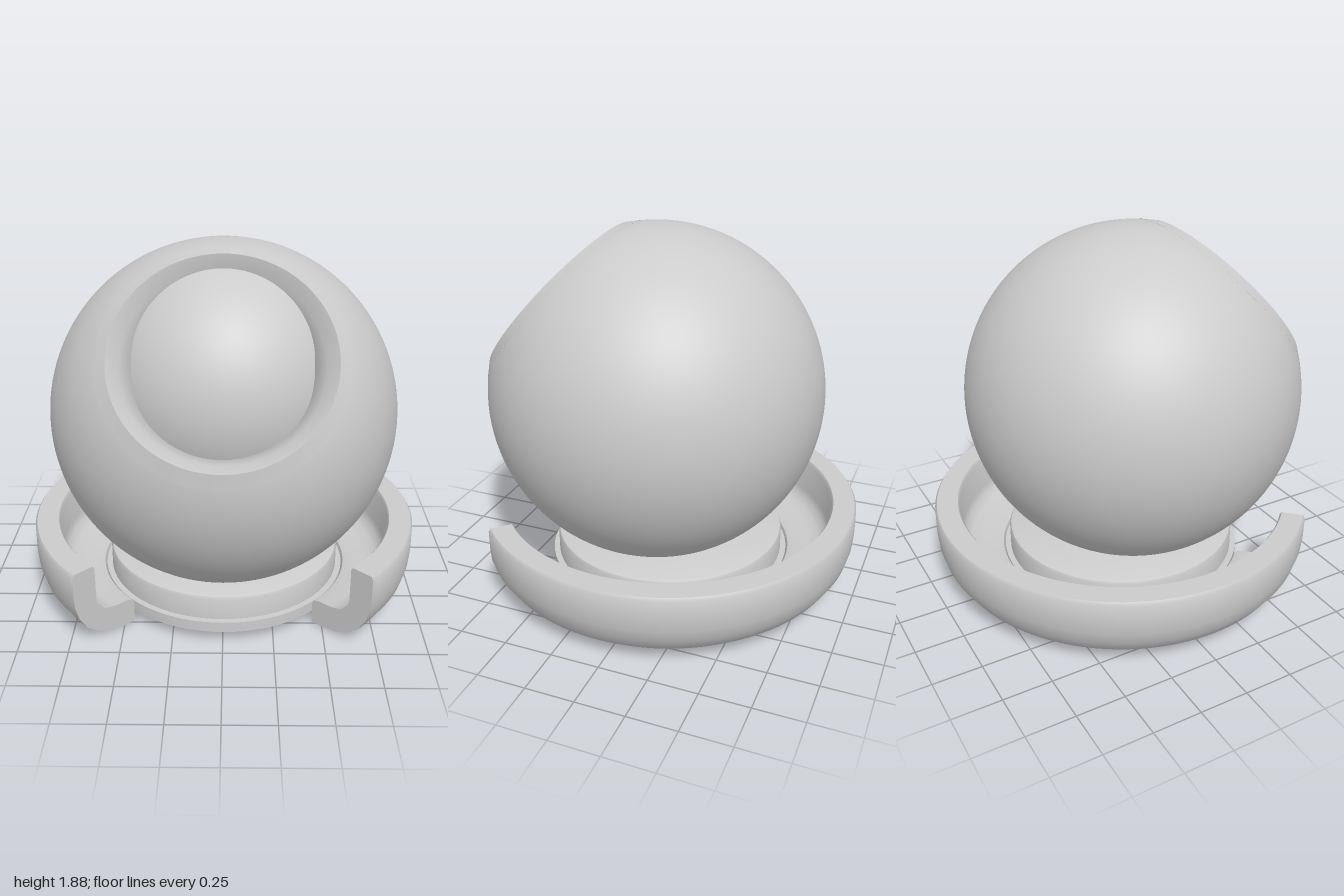
import * as THREE from 'three';
import { toCreasedNormals } from 'three/addons/utils/BufferGeometryUtils.js';

const material = new THREE.MeshStandardMaterial({ color: 0xcccccc, side: THREE.DoubleSide });
const points = (list) => list.map(([r, y]) => new THREE.Vector2(r, y));

function addMesh(parent, name, geometry) {
  const mesh = new THREE.Mesh(geometry, material);
  mesh.name = name;
  parent.add(mesh);
  return mesh;
}

function lathe(list, segments = 96, start = 0, length = Math.PI * 2) {
  return toCreasedNormals(new THREE.LatheGeometry(points(list), segments, start, length), 0.6);
}

// Open cradle: three quarters of a bowl, a floor plate and a raised seat
function createBase() {
  const base = new THREE.Group();
  base.name = 'base';
  base.position.z = 0.03;

  const section = [
    [0.64, 0], [0.7, 0], [0.79, 0.015], [0.87, 0.05], [0.93, 0.1], [0.975, 0.17],
    [0.995, 0.24], [1, 0.3], [1, 0.41], [0.99, 0.425], [0.88, 0.425], [0.87, 0.41],
    [0.87, 0.23], [0.855, 0.19], [0.82, 0.16], [0.76, 0.145], [0.68, 0.14], [0.65, 0.13],
    [0.64, 0.11], [0.64, 0],
  ];
  const start = Math.PI / 4;
  const sweep = Math.PI * 1.5;
  addMesh(base, 'bowlWall', lathe(section, 96, start, sweep));

  // Flat faces closing both ends of the wall
  const endShape = new THREE.Shape(points(section.slice(0, -1)));
  for (const angle of [start, start + sweep]) {
    const end = addMesh(base, 'bowlWallEnd', new THREE.ShapeGeometry(endShape));
    end.rotation.y = angle - Math.PI / 2;
  }

  addMesh(base, 'floorPlate', lathe([[0, 0.065], [0.64, 0.065], [0.64, 0.12], [0, 0.12]]));
  addMesh(base, 'seat', lathe([
    [0.61, 0.1], [0.61, 0.23], [0.604, 0.244], [0.59, 0.25], [0, 0.25],
  ]));
  return base;
}

// Hollow ball with a tilted round opening; the group's y axis points out of the opening
function createBall() {
  const ball = new THREE.Group();
  ball.name = 'ball';
  ball.position.set(0, 1.013, 0.1);
  ball.rotation.x = 0.867;

  const radius = 0.867;
  const cut = Math.acos(0.65 / radius);
  addMesh(ball, 'shell', new THREE.SphereGeometry(radius, 128, 80, 0, Math.PI * 2, cut, Math.PI - cut));

  // Bevelled rim running into the opening
  addMesh(ball, 'rim', lathe([
    [0.575, 0.65], [0.515, 0.7], [0.462, 0.645], [0.415, 0.565], [0.41, 0.38],
  ]));

  // Inner ball, set a little high so that it bulges through the rim
  const core = addMesh(ball, 'innerBall', new THREE.SphereGeometry(0.62, 96, 64));
  core.position.set(0, 0.121, -0.1425);
  return ball;
}

export function createModel() {
  const model = new THREE.Group();
  model.name = 'ballOnStand';
  model.add(createBase(), createBall());
  return model;
}
